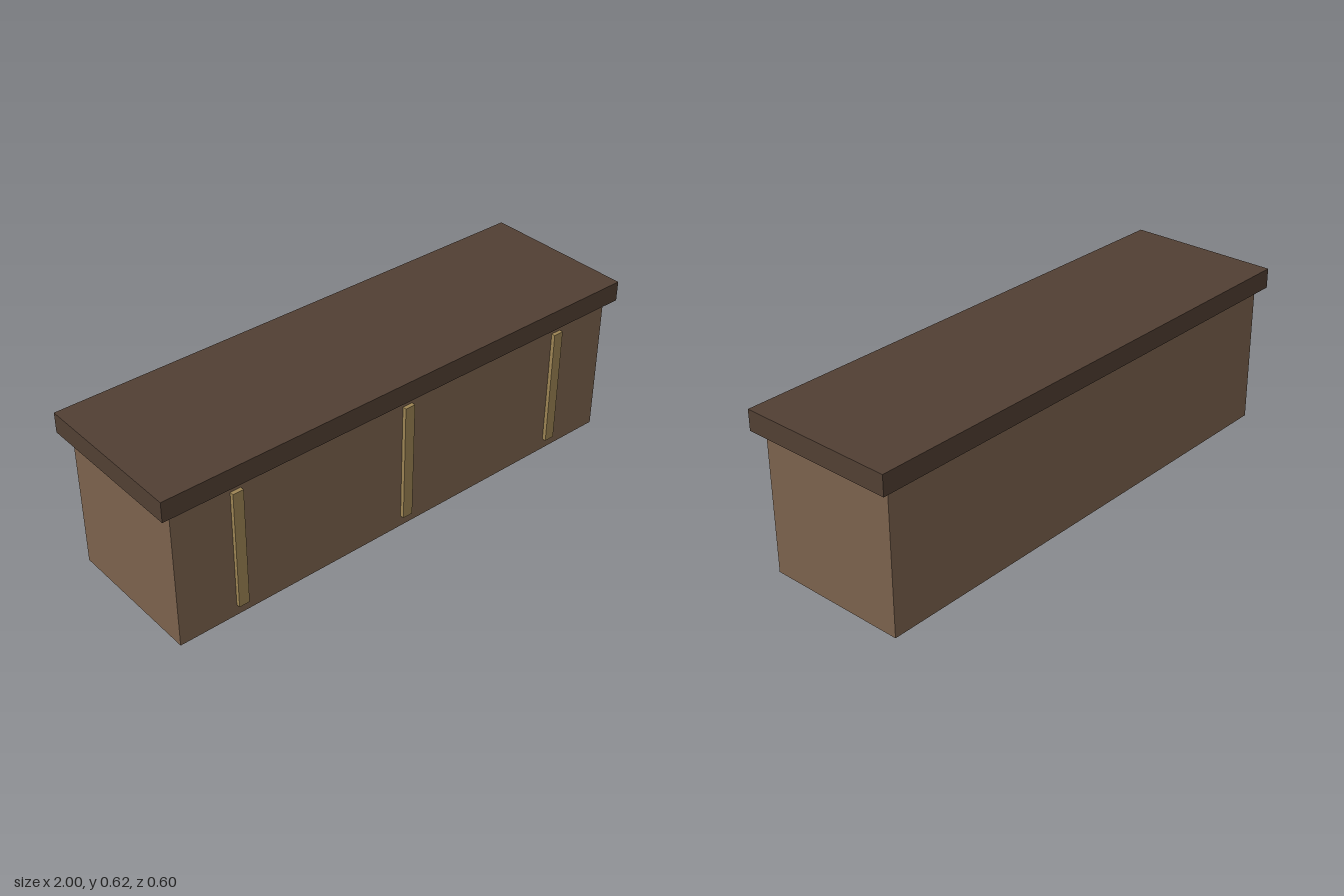
import * as THREE from 'three';

export function createModel() {
  const group = new THREE.Group();
  const material = (name, color) => {
    const m = new THREE.MeshStandardMaterial({ color });
    m.name = name;
    return m;
  };
  const wood = material('brown wood', 0x7b624d);
  const darkWood = material('dark wood', 0x513f33);
  const brass = material('dull brass', 0x9c8453);

  // Box placed by its underside height
  const box = (name, mat, w, h, d, x, y, z) => {
    const mesh = new THREE.Mesh(new THREE.BoxGeometry(w, h, d), mat);
    mesh.name = name;
    mesh.position.set(x, y + h / 2, z);
    group.add(mesh);
  };

  // Main body and overhanging top
  box('body', wood, 1.918, 0.543, 0.548, 0, 0, 0);
  box('top', darkWood, 2, 0.077, 0.602, 0, 0.543, 0);

  // Upright strips on the front face, slightly sunk into the body
  ['rightStrip', 'middleStrip', 'leftStrip'].forEach((name, i) =>
    box(name, brass, 0.041, 0.465, 0.03, (i - 1) * 0.713, 0.043, 0.274));

  return group;
}
